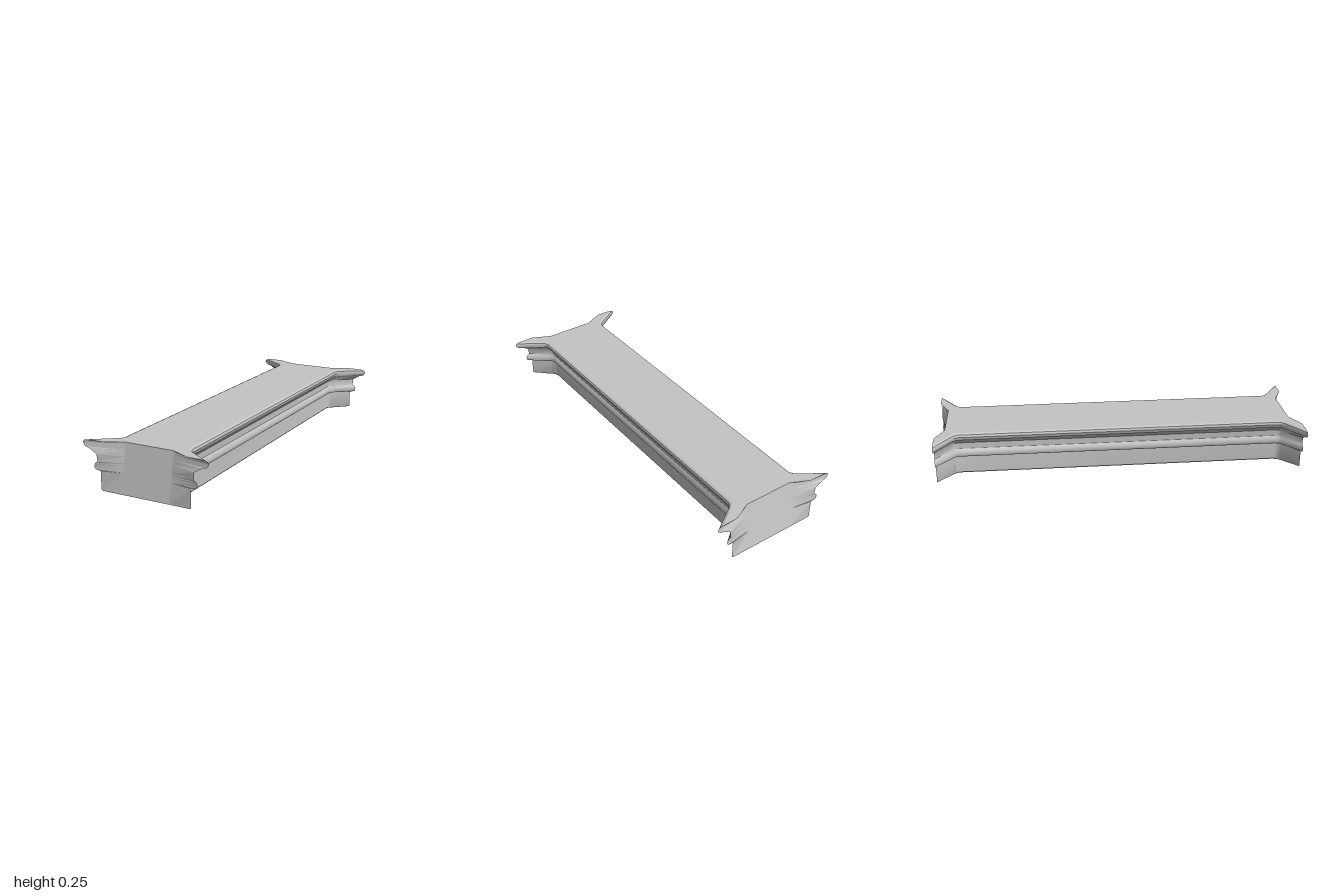
import * as THREE from 'three';
import { toCreasedNormals } from 'three/addons/utils/BufferGeometryUtils.js';

// Moulding profile at the flared ends: [half width, height], bottom to top
const PROFILE = [
  [0.25, 0], [0.257, 0.005], [0.257, 0.103], [0.283, 0.105], [0.292, 0.112], [0.294, 0.126],
  [0.288, 0.138], [0.274, 0.15], [0.278, 0.186], [0.32, 0.211], [0.344, 0.217],
  [0.358, 0.236], [0.35, 0.249], [0.325, 0.255],
];
// Stations along the length: [z, flare amount], front to back
const FRONT = [[1, 1], [0.915, 0.17], [0.9, 0.06], [0.88, 0]];
const STATIONS = [...FRONT, ...FRONT.map(([z, t]) => [-z, t]).reverse()];

const TOP = 0.255;
const INNER = 0.137; // half width of the sunken middle of each end
const NOTCH = 0.24; // where the notch meets the top edge
const DEPTH = 0.05;

// Half width at a station: the straight run is narrower and its profile shallower
const widthAt = (x, t) => THREE.MathUtils.lerp(0.147 + (x - 0.257) * 0.53, x, t);

// Surface through rows of points, facing out when columns run right and rows run up
function surface(rows, crease) {
  const n = rows[0].length;
  const index = [];
  for (let i = 0; i < rows.length - 1; i++) {
    for (let j = 0; j < n - 1; j++) {
      const a = i * n + j;
      index.push(a, a + 1, a + n + 1, a, a + n + 1, a + n);
    }
  }
  const g = new THREE.BufferGeometry();
  g.setAttribute('position', new THREE.Float32BufferAttribute(rows.flat(2), 3));
  g.setIndex(index);
  return toCreasedNormals(g, crease);
}

// Flat horizontal face; half outline is listed front to back on the +x side
function cap(half, y, up) {
  const outline = [...half, ...half.map(([x, z]) => [-x, z]).reverse()];
  const g = new THREE.ShapeGeometry(new THREE.Shape(outline.map(([x, z]) => new THREE.Vector2(x, z))));
  g.rotateX(up ? -Math.PI / 2 : Math.PI / 2);
  return g.translate(0, y, 0);
}

export function createModel() {
  const model = new THREE.Group();
  model.name = 'mouldedBeam';
  const stone = new THREE.MeshStandardMaterial({ color: 0xc4c4c4 });
  stone.name = 'pale grey stone';

  const add = (name, geometry, turn = 0) => {
    const mesh = new THREE.Mesh(geometry, stone);
    mesh.name = name;
    mesh.rotation.y = turn;
    model.add(mesh);
  };

  // Long moulded sides with flared ends
  const side = surface(
    PROFILE.map(([x, y]) => STATIONS.map(([z, t]) => [widthAt(x, t), y, z])), 0.6);
  add('leftMoulding', side);
  add('rightMoulding', side, Math.PI);

  // Ends, sunk progressively towards the top middle
  const end = surface(PROFILE.map(([x, y], i) => {
    const mid = i === PROFILE.length - 1 ? NOTCH : x;
    const z = 1 - DEPTH * (y / TOP);
    return [[-x, y, 1], [-mid, y, 1], [-INNER, y, z], [INNER, y, z], [mid, y, 1], [x, y, 1]];
  }), 0.1);
  add('frontEnd', end);
  add('backEnd', end, Math.PI);

  // Top face with a notch at each end, and plain underside
  const outline = (x) => STATIONS.map(([z, t]) => [widthAt(x, t), z]);
  const topX = PROFILE[PROFILE.length - 1][0];
  const topHalf = [[INNER, 1 - DEPTH], [NOTCH, 1], ...outline(topX), [NOTCH, -1], [INNER, DEPTH - 1]];
  add('topFace', cap(topHalf, TOP, true));
  add('underside', cap(outline(PROFILE[0][0]), 0, false));

  return model;
}
